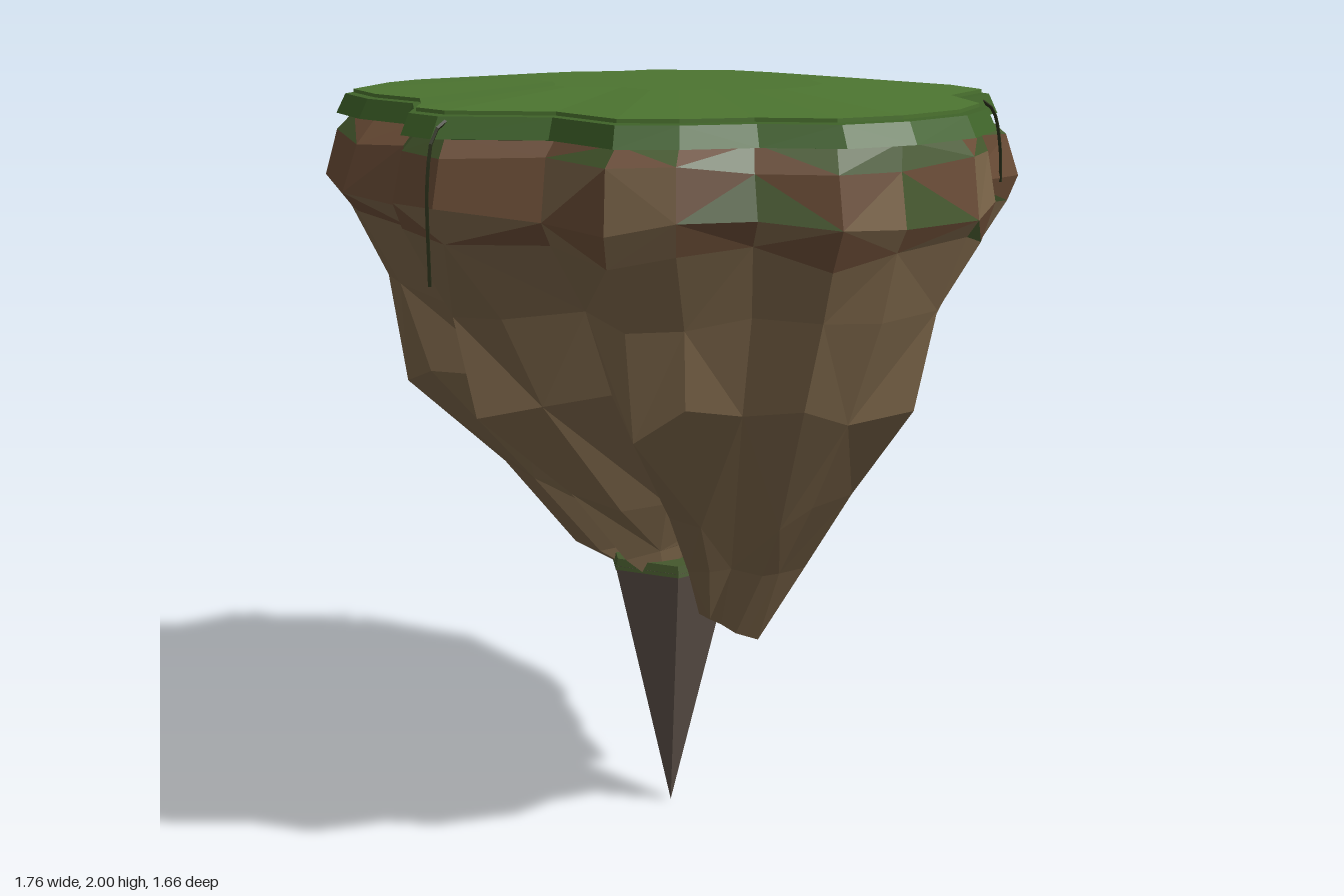
import * as THREE from 'three';

// Outlines from above as x, z pairs, front -> +x -> back -> -x: grass edge and cliff ledge
const SHORE = [
  0, .79, .12, .78, .3, .585, .54, .58, .63, .47, .7, .31, .83, .175, .86, 0, .83, -.21,
  .73, -.38, .51, -.5, .415, -.71, .255, -.755, -.11, -.72, -.35, -.66, -.47, -.52, -.68, -.33,
  -.69, -.095, -.8, .14, -.815, .33, -.765, .45, -.61, .64, -.42, .675, -.23, .65, -.1, .72,
];
const LEDGE = [
  -.02, .83, .14, .81, .31, .625, .565, .63, .67, .51, .74, .34, .88, .21, .88, .02, .855, -.24,
  .745, -.4, .54, -.52, .435, -.81, .25, -.84, -.14, -.81, -.39, -.68, -.54, -.545, -.7, -.37,
  -.78, -.15, -.88, .095, -.835, .32, -.8, .48, -.64, .68, -.39, .76, -.21, .715, -.1, .77,
];
const COUNT = SHORE.length / 2;
// Outline points that sink into gullies, with their depth
const GULLIES = { 1: .8, 2: 1, 9: 1, 11: 1, 12: .7, 17: .8, 23: .8 };

let seed = 7;
const jitter = (amount) => {
  seed = (seed * 16807) % 2147483647;
  return (seed / 2147483647 * 2 - 1) * amount;
};

const paint = (color) => new THREE.MeshStandardMaterial({ color, flatShading: true, side: THREE.DoubleSide });

function add(parent, name, geometry, material) {
  const mesh = new THREE.Mesh(geometry, material);
  mesh.name = name;
  parent.add(mesh);
  return mesh;
}

// power deepens the bays, carve cuts the gullies, rise lifts their lower ends, lean tilts the ring
function ring({ outline = LEDGE, y, f, power = 0, carve = 0, rise = 0, lean = 0, cx = 0, cz = 0, jr = 0, jy = 0 }) {
  return Array.from({ length: COUNT }, (_, i) => {
    const x = outline[2 * i], z = outline[2 * i + 1];
    const gully = GULLIES[i] ?? 0;
    const s = f * (1 - carve * gully) * Math.pow(Math.hypot(x, z) / 0.81, power) * (1 + jitter(jr));
    // The narrow lobe at point 10 also ends high, above the crystals
    const lift = rise * (i === 10 ? 1 : gully) + lean * (z - x / 2);
    return [cx + x * s, y + lift + jitter(jy), cz + z * s];
  });
}

// Skin between rings listed from top to bottom
function loft(rings) {
  const position = rings.flat(2), index = [];
  for (let r = 0; r < rings.length - 1; r++) {
    for (let i = 0; i < COUNT; i++) {
      const j = (i + 1) % COUNT;
      const a = r * COUNT + i, b = r * COUNT + j, c = a + COUNT, d = b + COUNT;
      if ((i + r) % 2) index.push(a, c, d, a, d, b);
      else index.push(a, c, b, b, c, d);
    }
  }
  const geometry = new THREE.BufferGeometry();
  geometry.setAttribute('position', new THREE.Float32BufferAttribute(position, 3));
  geometry.setIndex(index);
  const flat = geometry.toNonIndexed();
  flat.computeVertexNormals();
  return flat;
}

// Spread several materials over the facets; the first is the most common
function mottle(geometry, kinds) {
  const facets = geometry.attributes.position.count / 3;
  for (let t = 0; t < facets; t++) {
    const pick = Math.abs(jitter(1));
    geometry.addGroup(3 * t, 3, Math.floor(pick * pick * kinds));
  }
  return geometry;
}

function crystalCluster(name, position, direction, size) {
  const group = new THREE.Group();
  group.name = name;
  const material = paint(0xcccccc);
  const shards = [[0, 0, 1], [.3, .2, .8], [-.3, -.25, .75], [.1, -.45, .6]];
  for (const [tiltX, tiltZ, length] of shards) {
    const profile = [[0, 0], [.15, 0], [.18, .72 * length], [0, length]].map(([x, y]) => new THREE.Vector2(x * size, y * size));
    const shard = add(group, 'crystalShard', new THREE.LatheGeometry(profile, 6), material);
    shard.rotation.set(tiltX, 0, tiltZ);
  }
  group.position.set(...position);
  group.quaternion.setFromUnitVectors(new THREE.Vector3(0, 1, 0), new THREE.Vector3(...direction).normalize());
  return group;
}

export function createModel() {
  const island = new THREE.Group();
  island.name = 'floatingIsland';

  // Grass: gently domed top and an overhanging skirt
  const lawn = (y, f) => ring({ outline: SHORE, y, f });
  add(island, 'grassTop', loft([lawn(2, 0), lawn(2, .48), lawn(1.967, .97), lawn(1.958, .97)]), paint(0x4c7430));
  add(island, 'grassSkirt', loft([lawn(1.955, .9), lawn(1.955, .995), lawn(1.905, 1.025), lawn(1.9, .96)]), paint(0x3f6329));

  // Cliff: one continuous surface ending in separate lobes, coloured in bands
  const cliff = [
    { outline: SHORE, y: 1.91, f: .97 },
    { y: 1.855, f: .965, jr: .01, jy: .015 },
    { y: 1.74, f: 1, jr: .01, jy: .03 },
    { y: 1.66, f: .955, jr: .02, jy: .03 },
    { y: 1.48, f: .84, power: .2, carve: .06, cx: .03, jr: .03, jy: .04 },
    { y: 1.25, f: .74, power: .4, carve: .18, cx: .06, cz: .02, jr: .04, jy: .05 },
    { y: .96, f: .49, power: .9, carve: .33, cx: .07, cz: -.02, jr: .04, jy: .04 },
    { y: .76, f: .33, power: 1.1, carve: .42, rise: .05, cx: .07, cz: -.05, jr: .04, jy: .02 },
    { y: .59, f: .165, power: 1.4, carve: .4, rise: .17, lean: .09, cx: .1, cz: -.03, jr: .04 },
    { y: .73, f: 0, cx: .06, cz: -.03 },
  ].map(ring);
  const moss = paint(0x45582d), soil = paint(0x6a4c36), rock = paint(0x7a6448);
  add(island, 'mossBand', mottle(loft(cliff.slice(0, 2)), 2), [moss, soil]);
  add(island, 'soilBand', mottle(loft(cliff.slice(1, 4)), 3), [soil, rock, moss]);
  add(island, 'rockCliff', loft(cliff.slice(3)), rock);

  // Hanging stone spike with a low collar
  const spike = add(island, 'stoneSpike', new THREE.ConeGeometry(.18, .73, 6), paint(0x5c5148));
  spike.rotation.x = Math.PI;
  spike.position.set(.01, .365, .035);
  const collar = add(island, 'spikeCollar', new THREE.CylinderGeometry(.175, .182, .03, 6), moss);
  collar.position.set(.01, .735, .035);

  // Vines drooping over the rim: x, z, lower end
  const vineMaterial = paint(0x2a2f1a);
  const vines = [
    [.14, .81, 1.57], [-.86, .29, 1.72], [.46, -.69, 1.73],
    [.54, -.51, 1.6], [-.48, -.61, 1.62], [-.72, -.34, 1.6],
  ];
  for (const [x, z, end] of vines) {
    const path = new THREE.CatmullRomCurve3([[.93, 1.95], [.985, 1.92], [1.015, 1.82], [1.02, end]]
      .map(([s, y]) => new THREE.Vector3(x * s, y, z * s)));
    add(island, 'hangingVine', new THREE.TubeGeometry(path, 10, .005, 4), vineMaterial);
  }

  // Crystals growing out of the rock
  island.add(crystalCluster('sideCrystals', [-.4, 1.1, .23], [-1, -.35, 0], .2));
  island.add(crystalCluster('lowerCrystals', [.15, .77, -.09], [.3, -.9, -.25], .17));
  return island;
}
